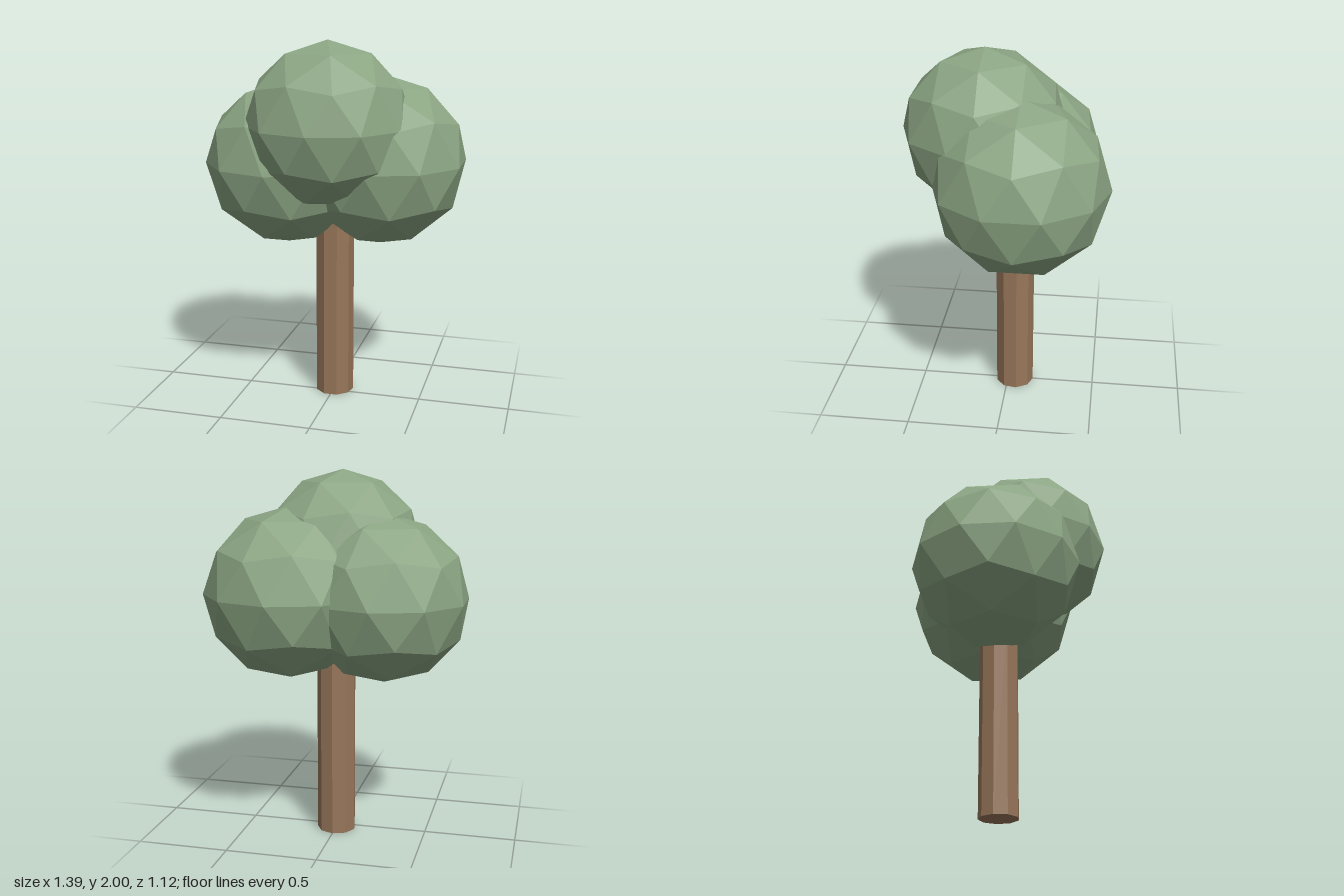
import * as THREE from 'three';

const leafMaterial = new THREE.MeshStandardMaterial({ color: 0x8ba583, flatShading: true });
const barkMaterial = new THREE.MeshStandardMaterial({ color: 0x98765a, flatShading: true });

// Faceted ball with a corner at each pole
function foliage(name, radius, x, y, z) {
  const geometry = new THREE.IcosahedronGeometry(radius, 1);
  geometry.rotateZ(-Math.atan(2 / (1 + Math.sqrt(5))));
  geometry.computeVertexNormals(); // flat normals, as the faces share no vertices
  const mesh = new THREE.Mesh(geometry, leafMaterial);
  mesh.name = name;
  mesh.position.set(x, y, z);
  return mesh;
}

export function createModel() {
  const tree = new THREE.Group();
  tree.name = 'tree';

  // Nine-sided trunk, flat side to the front, its top hidden in the foliage
  const height = 1.1;
  const trunk = new THREE.Mesh(
    new THREE.CylinderGeometry(0.107, 0.107, height, 9, 1, false, Math.PI),
    barkMaterial
  );
  trunk.name = 'trunk';
  trunk.position.set(0, height / 2, -0.04);
  tree.add(trunk);

  // Three overlapping clumps of leaves
  tree.add(
    foliage('foliageTop', 0.442, 0.002, 1.558, 0.119),
    foliage('foliageLeft', 0.467, 0.247, 1.345, -0.095),
    foliage('foliageRight', 0.456, -0.265, 1.323, -0.04)
  );
  return tree;
}
